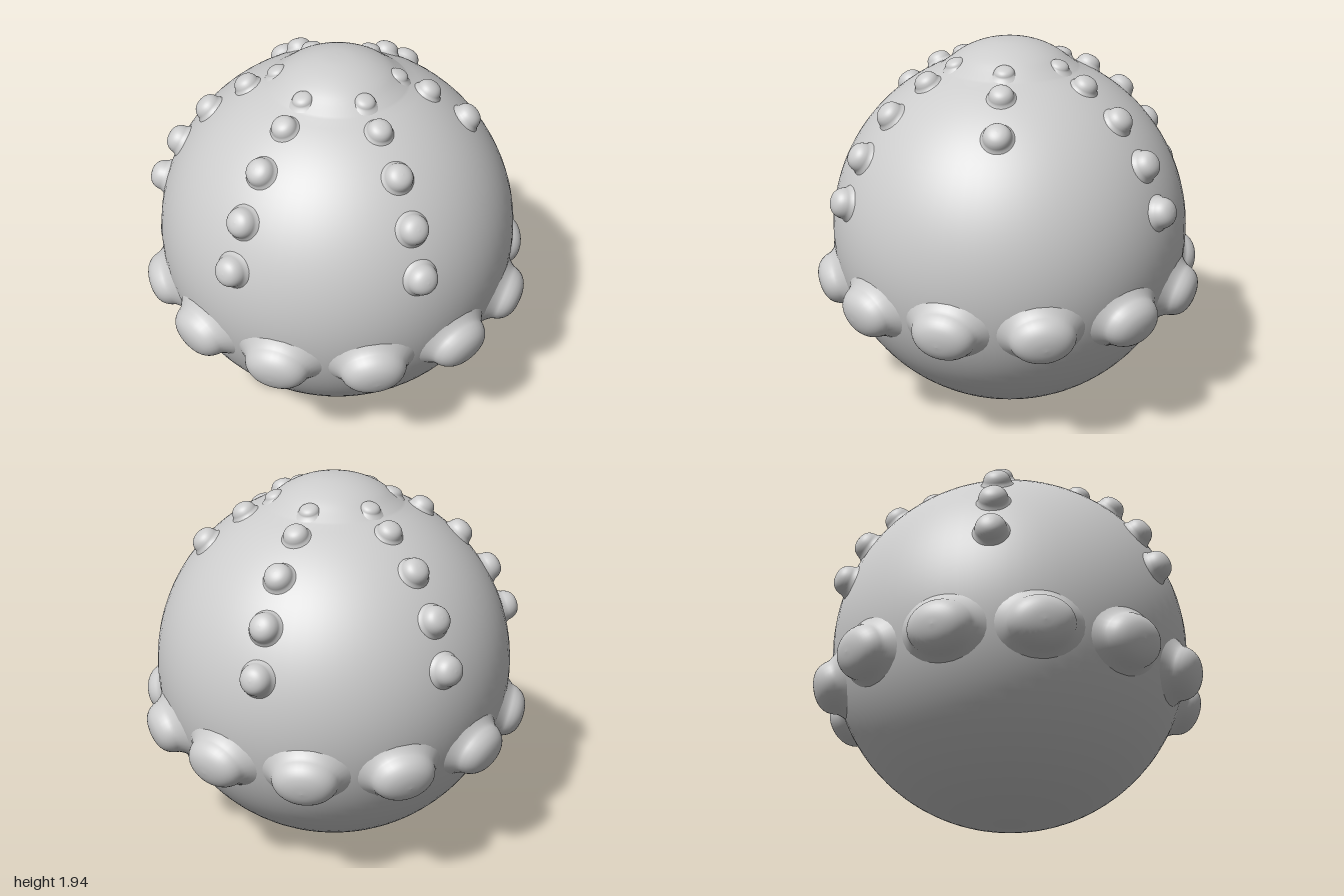
import * as THREE from 'three';

const R = 0.93; // body radius
const CENTRE_Y = 0.935;

const stone = new THREE.MeshStandardMaterial({ color: 0xcccccc });
stone.name = 'light grey';

const spline = (pts, n) =>
  new THREE.SplineCurve(pts.map(([x, y]) => new THREE.Vector2(x, y))).getPoints(n)
    .map((p) => new THREE.Vector2(Math.max(p.x, 0), p.y));

// Rounded knob with a flared foot that melts into the body; unit radius and height
const knobGeometry = new THREE.LatheGeometry(spline([
  [1.38, -0.32], [1.16, -0.07], [1.01, 0.16], [0.95, 0.38],
  [0.84, 0.62], [0.64, 0.83], [0.34, 0.96], [0, 1],
], 20), 32);

// Place a knob on the body; angle 0 faces front, latitude is measured from the equator
function addKnob(group, name, angle, latitude, width, depth, height, lift = 0) {
  const a = THREE.MathUtils.degToRad(angle);
  const l = THREE.MathUtils.degToRad(latitude);
  const normal = new THREE.Vector3(
    Math.sin(a) * Math.cos(l), Math.sin(l), Math.cos(a) * Math.cos(l));
  const tangent = new THREE.Vector3(Math.cos(a), 0, -Math.sin(a));
  const across = new THREE.Vector3().crossVectors(tangent, normal);
  const knob = new THREE.Mesh(knobGeometry, stone);
  knob.name = name;
  knob.quaternion.setFromRotationMatrix(new THREE.Matrix4().makeBasis(tangent, normal, across));
  knob.position.copy(normal).multiplyScalar(R + lift);
  knob.position.y += CENTRE_Y;
  knob.scale.set(width, height, depth);
  group.add(knob);
}

export function createModel() {
  const model = new THREE.Group();
  model.name = 'studdedBall';

  // Round body with a low dome on the crown
  const profile = [];
  for (let i = 0; i <= 48; i++) {
    const t = THREE.MathUtils.degToRad(-90 + (i / 48) * 157);
    profile.push(new THREE.Vector2(Math.max(0, R * Math.cos(t)), CENTRE_Y + R * Math.sin(t)));
  }
  const last = profile.pop();
  profile.push(...spline([
    [last.x, last.y], [0.31, 1.83], [0.25, 1.874], [0.17, 1.912], [0.08, 1.935], [0, 1.94],
  ], 16));
  const body = new THREE.Mesh(new THREE.LatheGeometry(profile, 72), stone);
  body.name = 'body';
  model.add(body);

  // Ring of twelve large oval knobs
  const ring = new THREE.Group();
  ring.name = 'largeKnobRing';
  for (let i = 0; i < 12; i++) addKnob(ring, 'largeKnob', 15 + i * 30, -15, 0.168, 0.135, 0.12);
  model.add(ring);

  // Six rows of small knobs climbing to the crown: latitude, radius, height, lift
  const steps = [
    [71.5, 0.052, 0.035, 0.012],
    [61, 0.064, 0.058, 0],
    [46, 0.072, 0.068, 0],
    [30.5, 0.076, 0.076, 0],
    [15.5, 0.08, 0.084, 0],
  ];
  for (let row = 0; row < 6; row++) {
    const angle = 30 + row * 60;
    const group = new THREE.Group();
    group.name = 'smallKnobRow';
    // The row on the left side stops after three knobs
    const count = angle === 90 ? 3 : 5;
    steps.slice(0, count).forEach(([lat, r, h, lift]) =>
      addKnob(group, 'smallKnob', angle, lat, r, r, h, lift));
    model.add(group);
  }
  return model;
}
